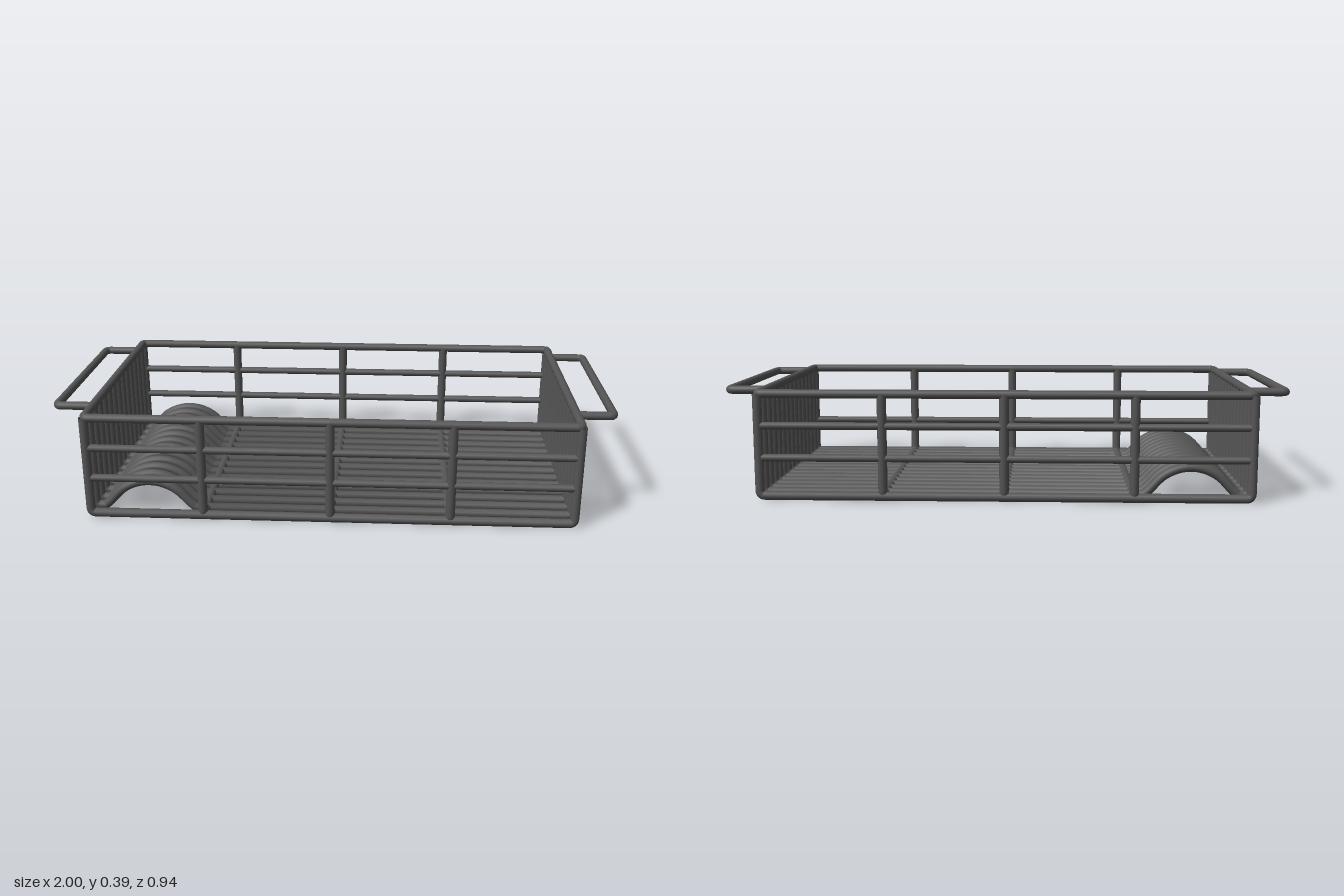
import * as THREE from 'three';

const X = 0.856, Z = 0.453;        // centre lines of the basket walls
const FLOOR = 0.0175, TOP = 0.377; // centre lines of floor and rim
const R = 0.0165, THIN = 0.0145;   // wire radii
const V = (x, y, z) => new THREE.Vector3(x, y, z);

// Curve that visits every given point exactly, so bends stay crisp
class Wire extends THREE.Curve {
  constructor(points) { super(); this.points = points; }
  getPointAt(t) { return this.points[Math.round(t * (this.points.length - 1))].clone(); }
  getPoint(t) { return this.getPointAt(t); }
  getTangentAt(t) {
    const p = this.points, i = Math.round(t * (p.length - 1)), d = V(0, 0, 0);
    if (i > 0) d.add(p[i].clone().sub(p[i - 1]).normalize());
    if (i < p.length - 1) d.add(p[i + 1].clone().sub(p[i]).normalize());
    return d.normalize();
  }
}

// Round each inner corner of a polyline
function bend(corners, fillet = 0.02) {
  const out = [corners[0]];
  for (let i = 1; i < corners.length - 1; i++) {
    const c = corners[i];
    const toward = (q) => c.clone().add(q.clone().sub(c).setLength(fillet));
    out.push(...new THREE.QuadraticBezierCurve3(toward(corners[i - 1]), c, toward(corners[i + 1])).getPoints(6));
  }
  out.push(corners[corners.length - 1]);
  return out;
}

export function createModel() {
  const basket = new THREE.Group();
  basket.name = 'wireBasket';
  const material = new THREE.MeshStandardMaterial({ color: 0x555555, side: THREE.DoubleSide });

  const addWire = (name, points, radius = R) => {
    const geometry = new THREE.TubeGeometry(new Wire(points), points.length - 1, radius, 12, false);
    const mesh = new THREE.Mesh(geometry, material);
    mesh.name = name;
    basket.add(mesh);
  };

  // Closed rim, starting mid-side so the seam is hidden
  addWire('rim', bend([V(0, TOP, Z), V(X, TOP, Z), V(X, TOP, -Z), V(-X, TOP, -Z), V(-X, TOP, Z), V(0, TOP, Z)]), 0.0155);

  // Corner frames and side rails
  for (const z of [Z, -Z]) {
    addWire('cornerFrame', bend([V(-X, TOP, z), V(-X, FLOOR, z), V(X, FLOOR, z), V(X, TOP, z)]));
    for (const y of [0.152, 0.265]) addWire('sideRail', [V(-X, y, z), V(X, y, z)], 0.0135);
  }

  // Cross frames running under the floor and up both long sides
  for (const x of [-0.451, 0, 0.423])
    addWire('crossFrame', bend([V(x, TOP, Z), V(x, FLOOR, Z), V(x, FLOOR, -Z), V(x, TOP, -Z)]));

  // Lengthwise floor wires with an arched hump near the right end
  const humpX = -0.655;
  const profile = [[-0.165, 0], [-0.145, 0.018], [-0.1, 0.064], [-0.05, 0.09], [0, 0.098],
    [0.05, 0.09], [0.1, 0.064], [0.145, 0.018], [0.165, 0]];
  for (let i = -6; i <= 6; i++) {
    const z = i * 0.0647;
    const hump = new THREE.CatmullRomCurve3(profile.map(([x, y]) => V(humpX + x, FLOOR + y, z))).getPoints(32);
    const start = bend([V(-X, TOP, z), V(-X, FLOOR, z), hump[0]]).slice(0, -1);
    const end = bend([hump[hump.length - 1], V(X, FLOOR, z), V(X, TOP, z)]).slice(1);
    addWire('floorWire', [...start, ...hump, ...end]);
  }

  // Looped handles at both ends
  for (const s of [1, -1]) {
    const x = s * 0.985;
    addWire('handle', bend([V(s * X, TOP, 0.333), V(x, TOP, 0.333), V(x, TOP, -0.345), V(s * X, TOP, -0.345)]), 0.015);
  }

  return basket;
}
